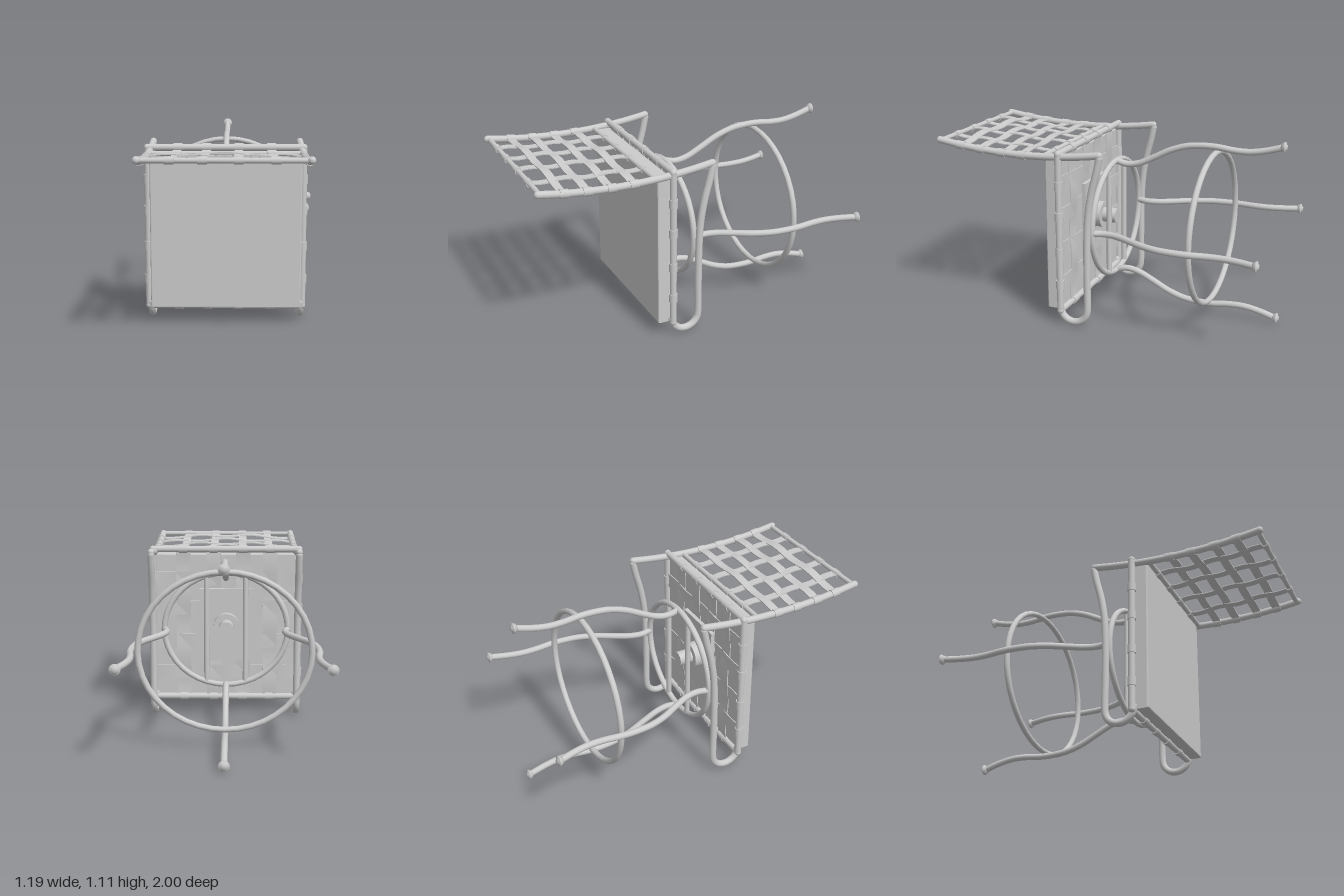
import * as THREE from 'three';

const V = (x, y, z) => new THREE.Vector3(x, y, z);
const CX = -0.005, CY = 0.56, SQUASH = 0.925; // swivel axis; base is slightly oval

export function createModel() {
  const model = new THREE.Group();
  const mat = new THREE.MeshStandardMaterial({ color: 0xcccccc });

  function add(name, geo, parent) {
    const mesh = new THREE.Mesh(geo, mat);
    mesh.name = name;
    parent.add(mesh);
    return mesh;
  }
  function group(name) {
    const g = new THREE.Group();
    g.name = name;
    model.add(g);
    return g;
  }
  // Closed cylinder between two points
  function rod(name, a, b, r, parent) {
    const m = add(name, new THREE.CylinderGeometry(r, r, a.distanceTo(b), 16), parent);
    m.position.copy(a).lerp(b, 0.5);
    m.quaternion.setFromUnitVectors(V(0, 1, 0), b.clone().sub(a).normalize());
  }
  // Sweep along smooth points, with rounded ends
  function tube(name, pts, r, parent, segs) {
    const curve = new THREE.CatmullRomCurve3(pts, false, 'centripetal');
    add(name, new THREE.TubeGeometry(curve, segs, r, 14), parent);
    for (const p of [pts[0], pts[pts.length - 1]])
      add(name + 'End', new THREE.SphereGeometry(r, 14, 10), parent).position.copy(p);
  }
  // Flat strap: place(t, side, lift) maps strap coordinates to space
  function strap(name, width, place, parent) {
    const geo = new THREE.BoxGeometry(1, 0.006, width, 40, 1, 1);
    const p = geo.attributes.position;
    for (let i = 0; i < p.count; i++) {
      const v = place(p.getX(i) + 0.5, p.getZ(i), p.getY(i));
      p.setXYZ(i, v.x, v.y, v.z);
    }
    geo.computeVertexNormals();
    add(name, geo, parent);
  }

  const backY = z => 1.008 + 0.16 * (z - 0.45) ** 2;
  const columns = [-0.28, -0.11, 0.075, 0.265];
  const backRows = [0.44, 0.57, 0.71, 0.84];
  const seatRows = [0.25, 0.45, 0.665, 0.85];
  const weave = (t, i) => 0.007 * Math.sin(t * Math.PI * 5 + i * Math.PI);

  // Side tubes: back post, arm, drop and lower loop
  const sides = group('sideFrames');
  for (const x of [-0.445, 0.445]) {
    const post = [];
    for (let i = 0; i <= 8; i++) {
      const z = 0.98 - i * 0.1275;
      post.push(V(x, backY(z), z));
    }
    tube('backPost', post, 0.021, sides, 60);
    const drop = [V(x, 1.03, -0.042), V(x, 0.95, -0.025), V(x, 0.82, 0.008),
      V(x, 0.68, 0.03), V(x, 0.5, 0.038), V(x, 0.3, 0.039)];
    for (let i = 0; i <= 8; i++) {
      const a = Math.PI * (1 + i / 8);
      drop.push(V(x, 0.105 + 0.084 * Math.sin(a), 0.125 + 0.086 * Math.cos(a)));
    }
    tube('armLoop', drop, 0.021, sides, 90);
  }

  // Woven backrest
  const back = group('backrest');
  for (const z of [0.31, 0.97]) {
    rod('backCrossbar', V(-0.445, backY(z), z), V(0.445, backY(z), z), 0.015, back);
    for (const x of columns)
      rod('strapWrap', V(x - 0.025, backY(z), z), V(x + 0.025, backY(z), z), 0.02, back);
  }
  const bow = x => 0.02 * (1 - (x / 0.445) ** 2);
  backRows.forEach((z, i) => {
    strap('backRowStrap', 0.05, (t, s, l) => {
      const x = -0.445 + 0.89 * t;
      return V(x, backY(z + s) + bow(x) + weave(t, i) + l, z + s);
    }, back);
    for (const x of [-0.445, 0.445])
      rod('strapWrap', V(x, backY(z - 0.025), z - 0.025), V(x, backY(z + 0.025), z + 0.025), 0.025, back);
  });
  columns.forEach((x, i) => strap('backColumnStrap', 0.05, (t, s, l) => {
    const z = 0.31 + 0.66 * t;
    return V(x - s, backY(z) + bow(x) * Math.sin(Math.PI * t) + weave(t, i) + l, z);
  }, back));

  // Seat frame with woven underside
  const seat = group('seat');
  const FZ = 0.207, L = -0.46, R = 0.455, B = 0.085, T = 1.035;
  for (const x of [L, R]) {
    rod('seatSideRail', V(x, B, FZ), V(x, T, FZ), 0.02, seat);
    for (const y of seatRows)
      rod('strapWrap', V(x, y - 0.026, FZ), V(x, y + 0.026, FZ), 0.025, seat);
    for (const y of [B, T])
      add('frameCorner', new THREE.SphereGeometry(0.021, 14, 10), seat).position.set(x, y, FZ);
  }
  for (const y of [B, T]) {
    rod('seatEndRail', V(L, y, FZ), V(R, y, FZ), 0.02, seat);
    for (const x of columns)
      rod('strapWrap', V(x - 0.026, y, FZ), V(x + 0.026, y, FZ), 0.025, seat);
  }
  const seatZ = (t, i) => FZ - 0.003 - 0.8 * weave(t, i);
  seatRows.forEach((y, i) => strap('seatRowStrap', 0.09, (t, s, l) =>
    V(L + (R - L) * t, y - s, seatZ(t, i) + l), seat));
  columns.forEach((x, i) => strap('seatColumnStrap', 0.09, (t, s, l) =>
    V(x + s, B + (T - B) * t, seatZ(t, i) + l), seat));

  // Cushion with a small bevel
  const cw = 0.885, ch = 0.915, bev = 0.008;
  const shape = new THREE.Shape([[-1, -1], [1, -1], [1, 1], [-1, 1]].map(
    ([a, b]) => new THREE.Vector2(a * (cw / 2 - bev), b * (ch / 2 - bev))));
  add('cushion', new THREE.ExtrudeGeometry(shape, {
    depth: 0.068, bevelSize: bev, bevelThickness: bev, bevelSegments: 3,
  }), seat).position.set(0, 0.548, 0.22);

  // Swivel mount
  const mount = group('swivel');
  add('mountPlate', new THREE.BoxGeometry(0.335, 0.46, 0.024), mount).position.set(CX, CY, 0.18);
  rod('swivelFlange', V(CX, CY, 0.115), V(CX, CY, 0.17), 0.08, mount);
  rod('swivelPost', V(CX, CY, 0.03), V(CX, CY, 0.12), 0.045, mount);

  // Oval base: two rings, two bars and four curved legs
  const base = group('base');
  function ring(name, radius, z) {
    const m = add(name, new THREE.TorusGeometry(radius, 0.018, 12, 40), base);
    m.position.set(CX, CY, z);
    m.scale.y = SQUASH;
  }
  ring('topRing', 0.38, 0.035);
  ring('footRing', 0.485, -0.583);
  for (const dx of [-0.12, 0.12])
    rod('ringBar', V(CX + dx, CY - 0.335, 0.035), V(CX + dx, CY + 0.335, 0.035), 0.016, base);

  const profile = [[0.375, 0.025], [0.362, -0.02], [0.362, -0.06], [0.378, -0.12], [0.425, -0.21],
    [0.48, -0.31], [0.515, -0.41], [0.526, -0.5], [0.526, -0.59], [0.513, -0.7],
    [0.513, -0.79], [0.53, -0.88], [0.56, -0.975]];
  for (let k = 0; k < 4; k++) {
    const c = Math.round(Math.cos(k * Math.PI / 2)), s = Math.round(Math.sin(k * Math.PI / 2));
    const at = ([r, z]) => V(CX + c * r, CY + s * r * SQUASH, z);
    tube('leg', profile.map(at), 0.019, base, 80);
    // Flared foot with a small glide
    const foot = add('foot', new THREE.LatheGeometry([[0, -0.015], [0.02, -0.015], [0.031, 0.004],
      [0.031, 0.01], [0.014, 0.014], [0.014, 0.02], [0, 0.02]].map(p => new THREE.Vector2(...p)), 16), base);
    foot.position.copy(at([0.562, -0.98]));
    foot.rotation.x = -Math.PI / 2;
  }
  return model;
}
